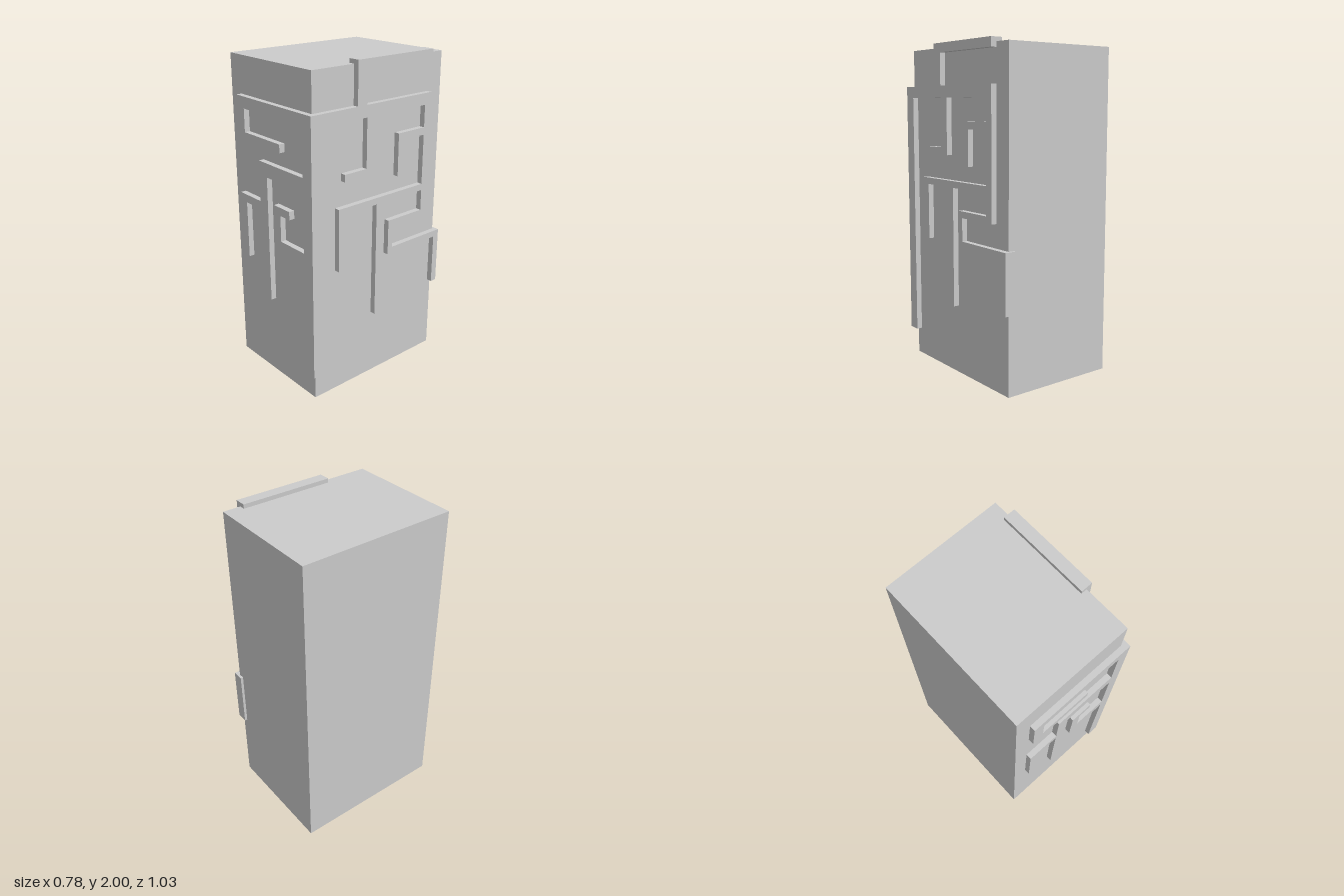
import * as THREE from 'three';

const material = new THREE.MeshStandardMaterial({ color: 0xcccccc, flatShading: true });
const DEPTH = 0.035; // thickness of the raised bands

function add(group, name, geometry) {
  const mesh = new THREE.Mesh(geometry, material);
  mesh.name = name;
  group.add(mesh);
}

// Box given by its extents on each axis
function block(x0, x1, y0, y1, z0, z1) {
  return new THREE.BoxGeometry(x1 - x0, y1 - y0, z1 - z0)
    .translate((x0 + x1) / 2, (y0 + y1) / 2, (z0 + z1) / 2);
}

function relief(points) {
  const shape = new THREE.Shape(points.map(([u, v]) => new THREE.Vector2(u, v)));
  return new THREE.ExtrudeGeometry(shape, { depth: DEPTH, bevelEnabled: false });
}

// Front maze band, as (x, y)
const frontOutline = [
  [0.39, 0.17], [0.39, 1.75],
  // upper hook
  [-0.295, 1.75], [-0.295, 1.49], [0.11, 1.49], [0.11, 1.54], [-0.225, 1.54], [-0.225, 1.68], [0.315, 1.68],
  // two hanging legs
  [0.315, 1.4], [-0.095, 1.4], [-0.095, 1.15], [-0.3, 1.15], [-0.3, 0.74], [-0.24, 0.74], [-0.24, 1.1],
  [-0.095, 1.1], [-0.095, 0.525], [-0.02, 0.525], [-0.02, 1.315], [0.315, 1.315],
  // small curl
  [0.315, 0.955], [0.1, 0.955], [0.1, 1.115], [0.185, 1.115], [0.185, 1.165], [0.04, 1.165], [0.04, 0.885],
  [0.315, 0.885], [0.315, 0.17],
];

// Side maze band, as (-z, y)
const sideOutline = [
  [-0.48, 0.17], [-0.44, 0.17], [-0.44, 1.68],
  // foot and inner hook
  [-0.12, 1.68], [-0.12, 1.385], [-0.28, 1.385], [-0.28, 1.34], [-0.055, 1.34], [-0.055, 1.68],
  [0.34, 1.68], [0.34, 1.545], [0.13, 1.545], [0.13, 1.285], [0.165, 1.285], [0.165, 1.5], [0.34, 1.5],
  // hanging legs
  [0.34, 1.19], [-0.325, 1.19], [-0.325, 0.805], [-0.27, 0.805], [-0.27, 1.15], [-0.035, 1.15],
  [-0.035, 0.425], [0.005, 0.425], [0.005, 1.15], [0.34, 1.15],
  // step running to the back edge
  [0.34, 1.02], [0.065, 1.02], [0.065, 0.8], [0.475, 0.8], [0.475, 0.48], [0.5, 0.48], [0.5, 0.84],
  [0.1, 0.84], [0.1, 0.98], [0.39, 0.98], [0.39, 1.75],
  // arm rising to the top edge
  [-0.12, 1.75], [-0.12, 1.945], [0.39, 1.945], [0.39, 1.975], [-0.19, 1.975], [-0.19, 1.75], [-0.48, 1.75],
];

export function createModel() {
  const model = new THREE.Group();
  model.name = 'carvedPillar';

  add(model, 'pillarBody', block(-0.39, 0.355, 0, 1.975, -0.5, 0.48));
  add(model, 'frontRelief', relief(frontOutline).translate(0, 0, 0.48));
  add(model, 'sideRelief', relief(sideOutline).rotateY(Math.PI / 2).translate(0.355, 0, 0));

  // Bands folding over the top and back edges
  add(model, 'topEdgeBand', block(0.318, 0.39, 1.975, 2, -0.39, 0.19));
  add(model, 'backEdgeBand', block(0.318, 0.39, 0.48, 0.84, -0.517, -0.5));

  return model;
}
